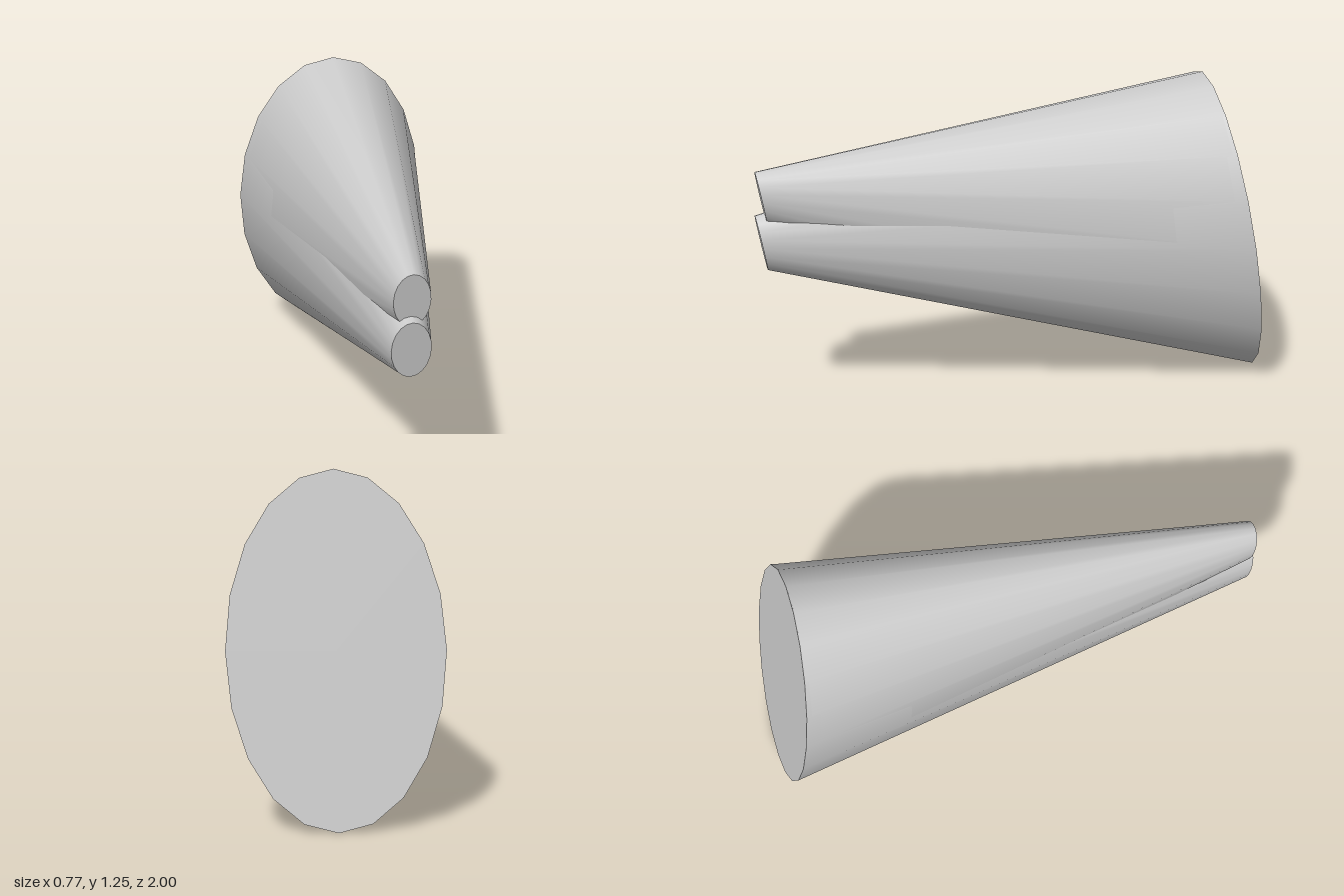
import * as THREE from 'three';
import { toCreasedNormals } from 'three/addons/utils/BufferGeometryUtils.js';

const SIDES = 20;
const material = new THREE.MeshStandardMaterial({ color: 0xcccccc });

// Tapered elliptical beam whose two end planes lean the same way
function beam(name, near, far) {
  const geometry = new THREE.CylinderGeometry(1, 1, 2, SIDES, 1).rotateX(Math.PI / 2);
  const p = geometry.attributes.position;
  for (let i = 0; i < p.count; i++) {
    const end = p.getZ(i) > 0 ? near : far;
    const dx = p.getX(i) * end.rx;
    const dy = p.getY(i) * end.ry;
    p.setXYZ(i, end.x + dx, end.y + dy, end.z + 0.05 * dx + 0.18 * dy);
  }
  // Smooth around the sides, sharp at the end caps
  const mesh = new THREE.Mesh(toCreasedNormals(geometry, 0.8), material);
  mesh.name = name;
  return mesh;
}

export function createModel() {
  const group = new THREE.Group();
  group.name = 'twinBeams';

  // Both beams start at separate small ends and merge into one wide end
  group.add(
    beam('upperBeam',
      { x: -0.088, y: 0.86, z: 0.975, rx: 0.066, ry: 0.103 },
      { x: 0, y: 0.626, z: -0.884, rx: 0.384, ry: 0.623 }),
    beam('lowerBeam',
      { x: -0.091, y: 0.678, z: 0.98, rx: 0.071, ry: 0.11 },
      { x: 0, y: 0.625, z: -0.886, rx: 0.386, ry: 0.624 })
  );
  return group;
}
